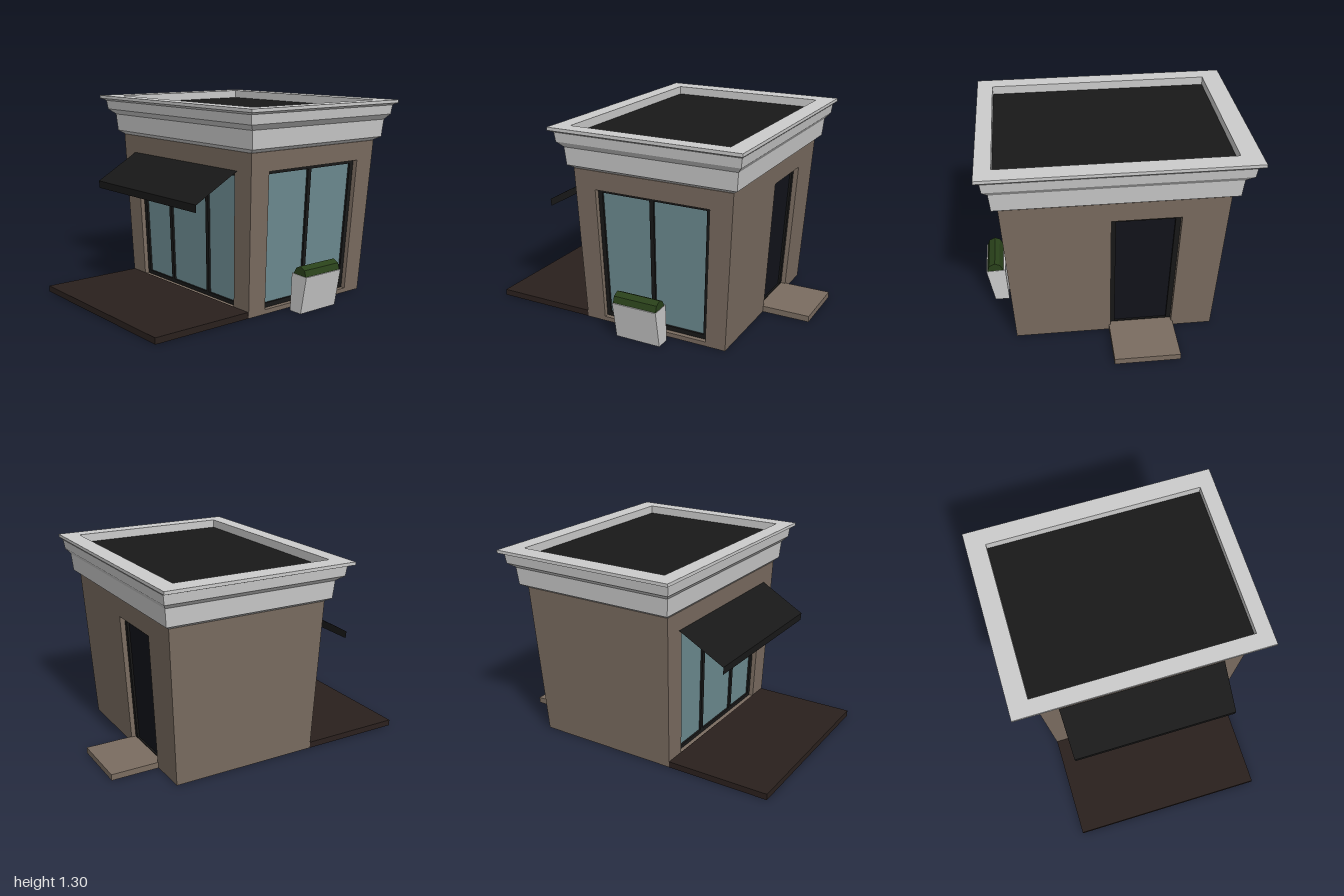
import * as THREE from 'three';

const material = (color) =>
  new THREE.MeshStandardMaterial({ color, flatShading: true, side: THREE.DoubleSide });
const grey = material(0xcccccc);
const brown = material(0x7a6c60);
const black = material(0x181818);
const glassBlue = material(0x6d8b91);
const doorDark = material(0x11131a);
const deckBrown = material(0x2a201d);
const green = material(0x29411a);

const H = 1.03; // wall height
const BASE = { x0: -0.63, x1: 0.645, z0: -0.68, z1: 0.31 };

// Walls and their openings all widen upwards by the same rule
function flare(geometry) {
  const p = geometry.attributes.position;
  for (let i = 0; i < p.count; i++) {
    const y = p.getY(i);
    p.setX(i, 0.005 + (p.getX(i) - 0.005) * (1 + 0.0785 * y));
    p.setZ(i, -0.03 + (p.getZ(i) + 0.03) * (1 + 0.085 * y));
  }
  geometry.computeVertexNormals();
  return geometry;
}

function rectPath(Type, [u0, u1, y0, y1]) {
  const path = new Type();
  path.moveTo(u0, y0);
  path.lineTo(u1, y0);
  path.lineTo(u1, y1);
  path.lineTo(u0, y1);
  path.closePath();
  return path;
}

function rectShape(outer, holes = []) {
  const shape = rectPath(THREE.Shape, outer);
  shape.holes = holes.map((h) => rectPath(THREE.Path, h));
  return shape;
}

function slab(shape, front, depth) {
  return new THREE.ExtrudeGeometry(shape, { depth, bevelEnabled: false })
    .translate(0, 0, front - depth);
}

function add(group, name, geometry, mat) {
  const mesh = new THREE.Mesh(geometry, mat);
  mesh.name = name;
  group.add(mesh);
  return mesh;
}

function box(group, name, [x0, x1, y0, y1, z0, z1], mat) {
  const g = new THREE.BoxGeometry(x1 - x0, y1 - y0, z1 - z0);
  g.translate((x0 + x1) / 2, (y0 + y1) / 2, (z0 + z1) / 2);
  return add(group, name, g, mat);
}

// One wall, with an optional recessed window or door
function buildWall({ name, angle, distance, span, opening, panes = [], fill, fillName }) {
  const group = new THREE.Group();
  group.name = name;
  const place = (g) => {
    g.rotateY(angle);
    g.translate(Math.sin(angle) * distance, 0, Math.cos(angle) * distance);
    return flare(g);
  };
  const wall = rectShape([...span, 0, H], opening ? [opening] : []);
  add(group, name + 'Panel', place(slab(wall, 0, 0.045)), brown);
  if (opening) {
    add(group, fillName + 'Frame', place(slab(rectShape(opening, panes), -0.03, 0.025)), black);
    add(group, fillName, place(new THREE.ShapeGeometry(rectShape(opening)).translate(0, 0, -0.043)), fill);
  }
  return group;
}

// Rectangular rings [y, x0, x1, z0, z1] joined by flat bands
function ringLoft(rings) {
  const corners = rings.map(([y, x0, x1, z0, z1]) =>
    [[x0, y, z1], [x1, y, z1], [x1, y, z0], [x0, y, z0]]);
  const pos = [];
  for (let r = 0; r < corners.length - 1; r++) {
    for (let i = 0; i < 4; i++) {
      const j = (i + 1) % 4;
      const [a, b, c, d] = [corners[r][i], corners[r][j], corners[r + 1][j], corners[r + 1][i]];
      pos.push(...a, ...b, ...c, ...a, ...c, ...d);
    }
  }
  const g = new THREE.BufferGeometry();
  g.setAttribute('position', new THREE.Float32BufferAttribute(pos, 3));
  g.computeVertexNormals();
  return g;
}

function prism(points, z0, z1) {
  const shape = new THREE.Shape(points.map(([x, y]) => new THREE.Vector2(x, y)));
  return new THREE.ExtrudeGeometry(shape, { depth: z1 - z0, bevelEnabled: false }).translate(0, 0, z0);
}

export function createModel() {
  const model = new THREE.Group();
  model.name = 'shop';

  // Walls
  const walls = [
    {
      name: 'frontWall', angle: 0, distance: BASE.z1, span: [BASE.x0, BASE.x1],
      opening: [-0.487, 0.502, 0.035, 0.9],
      panes: [[-0.457, -0.195], [-0.167, 0.19], [0.217, 0.472]].map((u) => [...u, 0.06, 0.87]),
      fill: glassBlue, fillName: 'frontWindow',
    },
    {
      name: 'leftWall', angle: Math.PI / 2, distance: BASE.x1, span: [-BASE.z1, -BASE.z0],
      opening: [-0.177, 0.547, 0.03, 0.908],
      panes: [[-0.15, 0.16], [0.186, 0.518]].map((u) => [...u, 0.06, 0.885]),
      fill: glassBlue, fillName: 'sideWindow',
    },
    {
      name: 'backWall', angle: Math.PI, distance: -BASE.z0, span: [-BASE.x1, -BASE.x0],
      opening: [-0.035, 0.365, 0.04, 0.9],
      panes: [[-0.005, 0.335, 0.045, 0.87]],
      fill: doorDark, fillName: 'backDoor',
    },
    { name: 'rightWall', angle: -Math.PI / 2, distance: -BASE.x0, span: [BASE.z0, BASE.z1] },
  ];
  walls.forEach((w) => model.add(buildWall(w)));

  // Stepped cornice, running over the rim and down to the roof
  const roofRing = [1.245, -0.71, 0.715, -0.72, 0.34];
  add(model, 'cornice', ringLoft([
    [1.03, -0.68, 0.69, -0.735, 0.337],
    [1.055, -0.725, 0.733, -0.772, 0.366],
    [1.17, -0.735, 0.743, -0.782, 0.375],
    [1.205, -0.785, 0.775, -0.81, 0.41],
    [1.265, -0.792, 0.782, -0.818, 0.417],
    [1.28, -0.837, 0.815, -0.835, 0.443],
    [1.3, -0.837, 0.815, -0.835, 0.443],
    [1.3, ...roofRing.slice(1)],
    roofRing,
  ]), grey);
  const [roofY, rx0, rx1, rz0, rz1] = roofRing;
  const roof = new THREE.PlaneGeometry(rx1 - rx0, rz1 - rz0).rotateX(-Math.PI / 2);
  add(model, 'roof', roof.translate((rx0 + rx1) / 2, roofY, (rz0 + rz1) / 2), black);

  // Awning: one thin sheet folded into slope and valance
  const awning = new THREE.PlaneGeometry(1, 1, 1, 2);
  const folds = [[0.91, 0.335, 0.557], [0.738, 0.64, 0.55], [0.69, 0.638, 0.546]];
  const p = awning.attributes.position;
  for (let i = 0; i < p.count; i++) {
    const [y, z, half] = folds[Math.floor(i / 2)];
    p.setXYZ(i, 0.005 + (i % 2 ? half : -half), y, z);
  }
  awning.computeVertexNormals();
  add(model, 'awning', awning, black);

  // Front deck and back step
  box(model, 'frontDeck', [-0.63, 0.642, 0, 0.04, 0.31, 1], deckBrown);
  box(model, 'backStep', [-0.375, 0.043, 0, 0.04, -1, -0.68], brown);

  // Planter with clipped hedge
  add(model, 'planter', prism([[0.69, 0], [0.785, 0], [0.83, 0.245], [0.703, 0.25]], -0.303, 0.003), grey);
  add(model, 'hedge', prism(
    [[0.712, 0.245], [0.823, 0.245], [0.81, 0.285], [0.77, 0.305], [0.738, 0.29]], -0.3, 0), green);

  return model;
}
